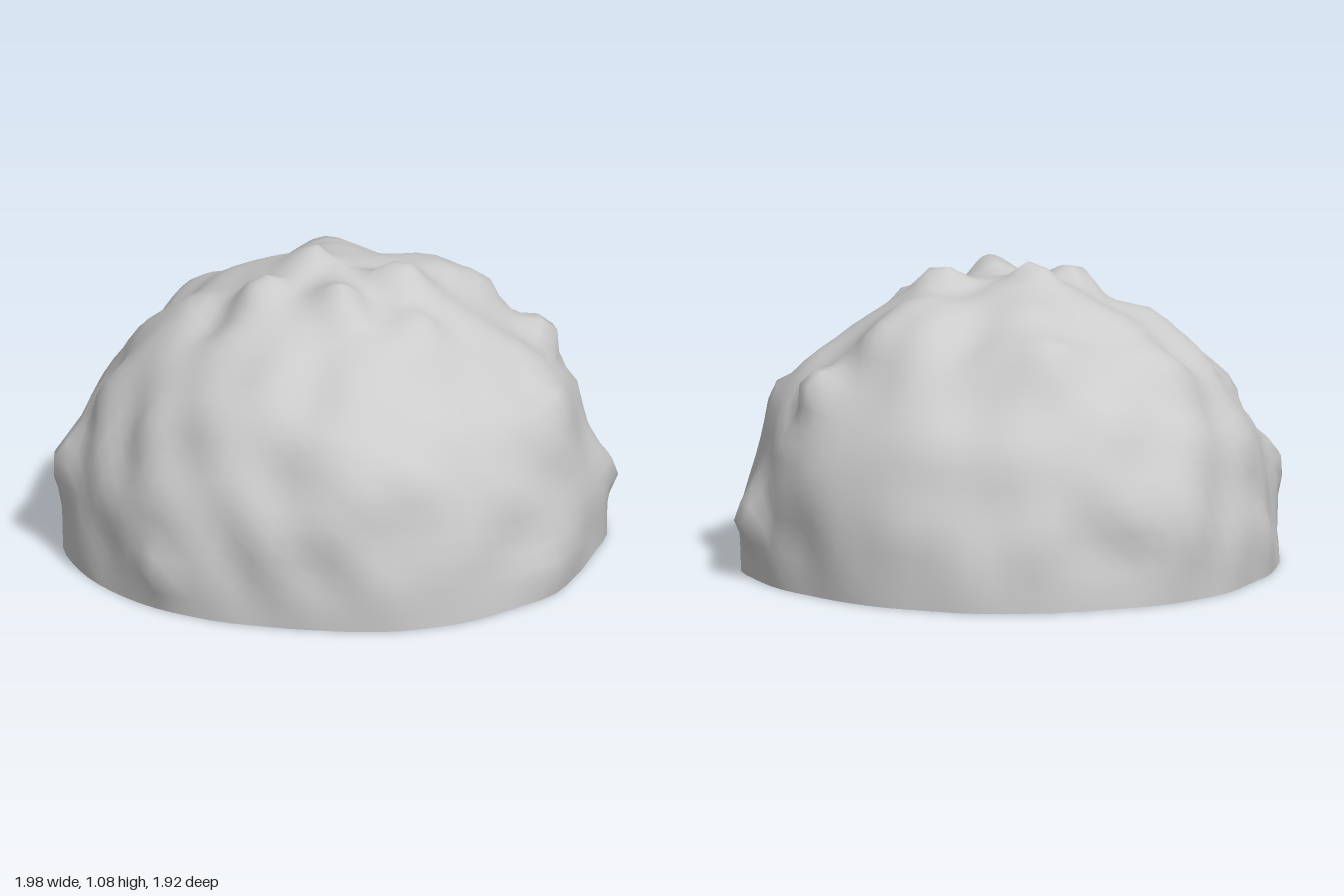
import * as THREE from 'three';
import { mergeVertices } from 'three/addons/utils/BufferGeometryUtils.js';

// Rim radius every 15 degrees, from the left side (+x) round by the front
const RIM = [0.94, 0.945, 0.925, 0.945, 0.95, 0.965, 0.955, 0.93, 0.925, 0.94, 0.96, 0.97,
  0.97, 0.96, 0.955, 0.94, 0.955, 0.97, 0.955, 0.965, 0.965, 0.955, 0.945, 0.94];

// Knobs and dents: the point the surface passes through, then width
const KNOBS = [
  // broad slopes
  [-0.64, 0.79, -0.05, 0.13], [0, 0.83, 0.57, 0.13], [0.05, 0.97, -0.33, 0.12],
  [0, 0.48, -0.88, 0.12], [0, 0.25, 0.93, 0.12], [0.35, 0.72, 0.54, 0.17],
  [0.72, 0.25, 0.57, 0.12], [0.9, 0.36, -0.05, 0.09], [0.4, 0.97, -0.05, 0.12],
  // crown
  [-0.3, 1.03, 0.1, 0.1], [0.22, 1.06, 0.13, 0.09], [-0.05, 1.05, 0.29, 0.1],
  [0.22, 0.95, 0.38, 0.08], [-0.08, 1.085, -0.05, 0.07],
  // left side
  [0.55, 0.9, -0.1, 0.09], [0.78, 0.57, 0.05, 0.06], [0.79, 0.73, -0.03, 0.08],
  [0.65, 0.73, 0.28, 0.08], [0.72, 0.62, 0.42, 0.08], [0.87, 0.5, 0, 0.07],
  [1, 0.22, 0.12, 0.08],
  // right side
  [-0.83, 0.61, -0.05, 0.11], [-1, 0.34, -0.1, 0.11], [-0.8, 0.15, 0.59, 0.08],
  // front
  [-0.1, 0.5, 0.89, 0.1], [0.27, 0.28, 0.9, 0.08], [0.62, 0.1, 0.76, 0.1],
  // back
  [0.1, 0.88, -0.6, 0.1], [0, 0.75, -0.66, 0.06], [-0.1, 0.33, -0.945, 0.1],
].map(([x, y, z, width]) => {
  const point = new THREE.Vector3(x, y, z);
  return { radius: point.length(), dir: point.normalize(), width };
});

// Seeded waves for the small lumps
let seed = 7;
const random = () => (seed = (seed * 16807) % 2147483647) / 2147483647;
const WAVES = Array.from({ length: 28 }, () => ({
  axis: new THREE.Vector3(random() - 0.5, random() - 0.5, random() - 0.5)
    .setLength(10 + 16 * random()),
  phase: 2 * Math.PI * random(),
}));
const lumps = (dir) => WAVES.reduce((sum, w) => sum + 0.0032 * Math.sin(w.axis.dot(dir) + w.phase), 0);

function rimRadius(dir) {
  const turn = ((Math.atan2(dir.z, dir.x) / (2 * Math.PI) + 1) % 1) * RIM.length;
  const i = Math.floor(turn);
  return THREE.MathUtils.lerp(RIM[i % RIM.length], RIM[(i + 1) % RIM.length], turn - i);
}

function radiusAt(dir) {
  const rise = THREE.MathUtils.smoothstep(dir.y, 0, 0.75);
  let r = THREE.MathUtils.lerp(rimRadius(dir), 1.0, rise);
  r += lumps(dir) * THREE.MathUtils.lerp(0.3, 1, THREE.MathUtils.smoothstep(dir.y, 0, 0.25));
  for (const k of KNOBS) {
    const pull = Math.exp(-dir.distanceToSquared(k.dir) / (k.width * k.width));
    r = THREE.MathUtils.lerp(r, k.radius, pull);
  }
  return r;
}

export function createModel() {
  const group = new THREE.Group();

  // Open half sphere, each point moved along its radius
  let geometry = new THREE.SphereGeometry(1, 80, 24, 0, Math.PI * 2, 0, Math.PI / 2);
  geometry.deleteAttribute('uv');
  geometry.deleteAttribute('normal');
  geometry = mergeVertices(geometry, 1e-4);
  const pos = geometry.attributes.position;
  const v = new THREE.Vector3();
  for (let i = 0; i < pos.count; i++) {
    v.fromBufferAttribute(pos, i).normalize();
    v.multiplyScalar(radiusAt(v));
    pos.setXYZ(i, v.x, Math.max(v.y, 0), v.z);
  }
  geometry.computeVertexNormals();

  const dome = new THREE.Mesh(geometry, new THREE.MeshStandardMaterial({
    color: 0xcccccc, side: THREE.DoubleSide,
  }));
  dome.name = 'rockDomeShell';
  group.add(dome);
  return group;
}
